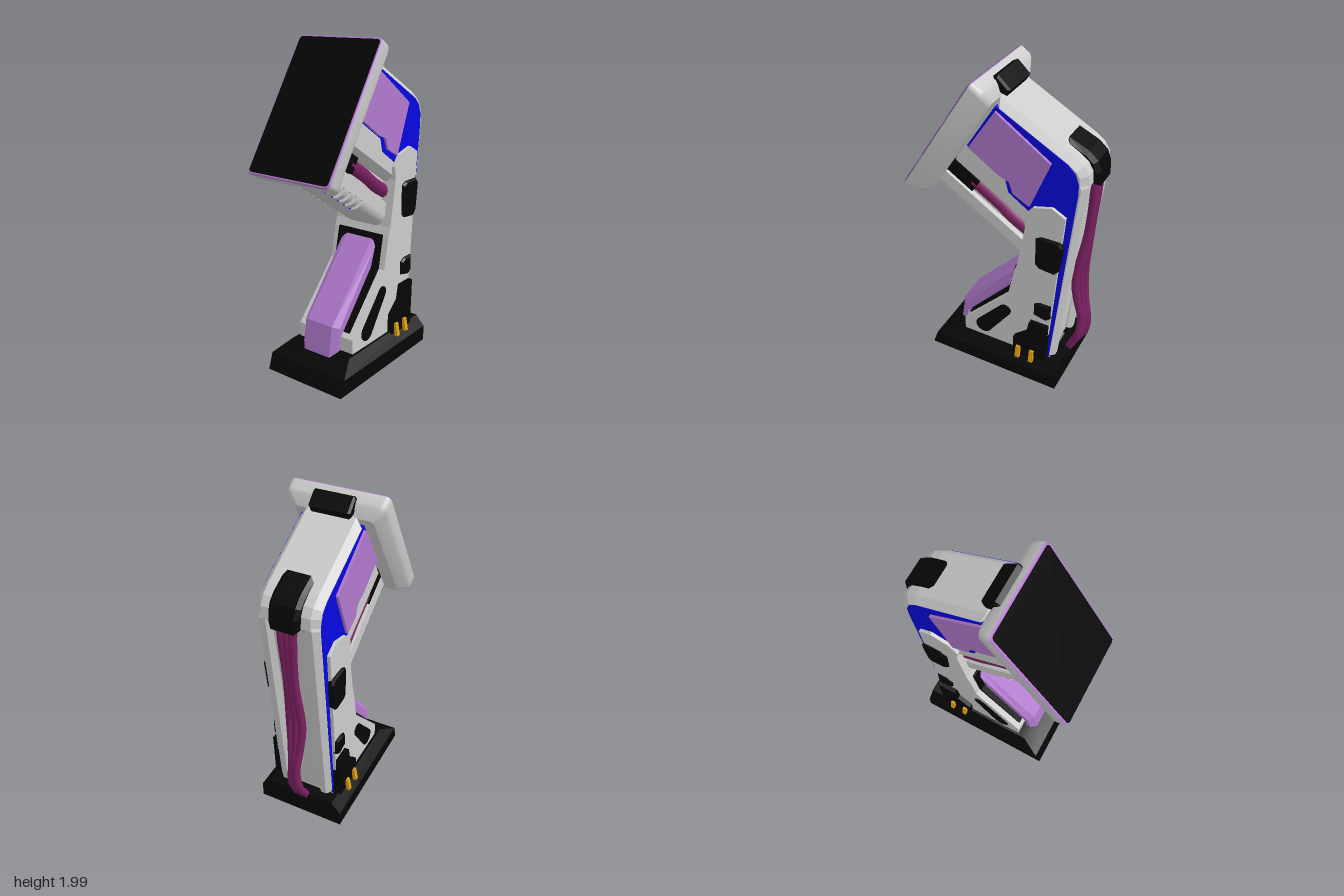
import * as THREE from 'three';
import { toCreasedNormals } from 'three/addons/utils/BufferGeometryUtils.js';

const GREY = 0xcccccc, BLACK = 0x060606, PURPLE = 0xb079cc, BLUE = 0x0808e0, MAGENTA = 0x7a2060, GOLD = 0xe0a010;
const TILT = -0.577; // the screen leans back

function add(parent, name, geometry, color) {
  const mesh = new THREE.Mesh(geometry, new THREE.MeshStandardMaterial({ color }));
  mesh.name = name;
  parent.add(mesh);
  return mesh;
}

// Side profile of [z, y] points, extruded across x from x0 to x1
function slab(parent, name, pts, x0, x1, color, bevel = 0) {
  const g = new THREE.ExtrudeGeometry(new THREE.Shape(pts.map(p => new THREE.Vector2(...p))), {
    depth: x1 - x0 - 2 * bevel, bevelEnabled: bevel > 0, bevelSize: bevel, bevelThickness: bevel,
    bevelOffset: -bevel, bevelSegments: 1,
  });
  g.rotateY(-Math.PI / 2).translate(x1 - bevel, 0, 0);
  return add(parent, name, g, color);
}

// The same profile on both sides of the model
function pair(parent, name, pts, x0, x1, color, bevel) {
  slab(parent, name + 'Left', pts, x0, x1, color, bevel);
  slab(parent, name + 'Right', pts, -x1, -x0, color, bevel);
}

// Skin through rings of equal point count
function loft(rings, capped) {
  const pos = [], tri = (...v) => v.forEach(p => pos.push(...p));
  for (let k = 0; k < rings.length - 1; k++) {
    const a = rings[k], b = rings[k + 1], n = a.length;
    for (let i = 0; i < n; i++) {
      const j = (i + 1) % n;
      tri(a[i], a[j], b[j]);
      tri(a[i], b[j], b[i]);
    }
  }
  if (capped) {
    const a = rings[0], b = rings[rings.length - 1];
    for (let i = 1; i < a.length - 1; i++) {
      tri(a[0], a[i + 1], a[i]);
      tri(b[0], b[i], b[i + 1]);
    }
  }
  const g = new THREE.BufferGeometry();
  g.setAttribute('position', new THREE.Float32BufferAttribute(pos, 3));
  g.computeVertexNormals();
  return toCreasedNormals(g, 0.6);
}

// Rounded rectangle from half sizes
function roundRect(w, h, r) {
  const s = new THREE.Shape();
  [[1, 1, 0], [-1, 1, 1], [-1, -1, 2], [1, -1, 3]].forEach(([sx, sy, q]) =>
    s.absarc(sx * (w - r), sy * (h - r), r, q * Math.PI / 2, (q + 1) * Math.PI / 2, false));
  return s;
}

function tube(parent, name, pts, r, color) {
  const curve = new THREE.CatmullRomCurve3(pts.map(p => new THREE.Vector3(...p)));
  return add(parent, name, new THREE.TubeGeometry(curve, 40, r, 10), color);
}

// Cross-section of the lower housing, rounded below or notched for a vent
function housingSection(notched) {
  const s = new THREE.Shape();
  s.moveTo(0.12, -0.1).lineTo(-0.12, -0.1).lineTo(-0.12, -0.26).lineTo(-0.155, -0.26);
  if (notched) {
    s.lineTo(-0.155, -0.335).lineTo(-0.085, -0.335).lineTo(-0.085, -0.4);
    s.lineTo(0.085, -0.4).lineTo(0.085, -0.335).lineTo(0.155, -0.335);
  } else {
    s.absarc(-0.085, -0.33, 0.07, Math.PI, 1.5 * Math.PI, false);
    s.absarc(0.085, -0.33, 0.07, 1.5 * Math.PI, 2 * Math.PI, false);
  }
  return s.lineTo(0.155, -0.26).lineTo(0.12, -0.26);
}

export function createModel() {
  const model = new THREE.Group();
  model.name = 'kiosk';

  // Hollow base frame
  const rect = (y, x, z0, z1) => [[x, y, z1], [x, y, z0], [-x, y, z0], [-x, y, z1]];
  add(model, 'base', loft([
    rect(0, 0.2, -0.37, 0.33), rect(0, 0.28, -0.45, 0.455), rect(0.1, 0.28, -0.45, 0.42),
    rect(0.165, 0.22, -0.45, 0.295), rect(0.165, 0.19, -0.37, 0.23), rect(0, 0.2, -0.37, 0.33),
  ]), BLACK);

  // Hollow column: front skin between two cheek plates
  const front = [[0.24, 0.15], [0.24, 0.255], [-0.08, 0.6], [-0.12, 0.8], [-0.14, 0.86], [-0.19, 1.15]];
  slab(model, 'columnFront', [...front, [-0.23, 1.15], [-0.18, 0.86], [-0.16, 0.8], [-0.12, 0.59], [0.2, 0.24], [0.2, 0.15]],
    -0.19, 0.19, GREY);
  pair(model, 'cheekPlate', [...front, [-0.18, 1.23], [-0.235, 1.3], [-0.35, 1.33], [-0.43, 1.285], [-0.34, 0.15]],
    0.16, 0.205, GREY);

  // Head and spine shell, with rails beside the cable channel
  slab(model, 'shell', [[-0.01, 1.89], [-0.44, 1.65], [-0.495, 1.61], [-0.525, 1.56], [-0.53, 1.49], [-0.5, 1.45],
    [-0.35, 0.15], [-0.25, 0.15], [-0.19, 1.13], [0.285, 1.43]], -0.182, 0.182, GREY, 0.038);
  pair(model, 'spineRail', [[-0.5, 1.54], [-0.53, 1.49], [-0.39, 0.15], [-0.3, 0.15], [-0.44, 1.54]],
    0.09, 0.182, GREY, 0.03);
  pair(model, 'bluePanel', [[0, 1.85], [-0.42, 1.615], [-0.465, 1.57], [-0.485, 1.51], [-0.485, 1.44], [-0.36, 0.16],
    [-0.26, 0.16], [-0.31, 1.23], [-0.215, 1.245], [-0.075, 1.34], [-0.055, 1.42], [0.18, 1.57]], 0.12, 0.185, BLUE);
  pair(model, 'purplePanel', [[-0.005, 1.825], [-0.33, 1.6], [-0.21, 1.295], [-0.11, 1.35], [-0.085, 1.42],
    [-0.02, 1.445], [0.165, 1.57]], 0.17, 0.201, PURPLE);

  // Black caps on the head
  slab(model, 'rearCap', [[-0.37, 1.71], [-0.49, 1.655], [-0.54, 1.61], [-0.562, 1.55], [-0.565, 1.465],
    [-0.5, 1.465], [-0.48, 1.57], [-0.36, 1.65]], -0.09, 0.09, BLACK, 0.022);
  slab(model, 'topClip', [[0.05, 1.975], [0.02, 1.99], [-0.055, 1.92], [-0.03, 1.88], [0.04, 1.9]],
    -0.123, 0.123, BLACK, 0.012);

  // Knee guard and its backing pad
  slab(model, 'kneePad', [[-0.11, 0.81], [-0.065, 0.61], [0.225, 0.285], [0.2, 0.27], [-0.09, 0.6], [-0.14, 0.81]],
    -0.165, 0.165, BLACK);
  slab(model, 'kneeGuard', [[0.3, 0.335], [-0.11, 0.785], [-0.08, 0.6], [0.23, 0.24], [0.23, 0.145], [0.33, 0.145]],
    -0.13, 0.13, PURPLE, 0.035);

  // Black side details
  pair(model, 'upperPad', [[-0.26, 1.1], [-0.295, 1.12], [-0.41, 1.12], [-0.43, 1.09], [-0.41, 0.915],
    [-0.38, 0.88], [-0.285, 0.89], [-0.26, 0.915]], 0.18, 0.222, BLACK, 0.012);
  pair(model, 'lowerPad', [[-0.26, 0.6], [-0.295, 0.62], [-0.37, 0.62], [-0.37, 0.52], [-0.34, 0.495], [-0.26, 0.515]],
    0.18, 0.222, BLACK, 0.012);
  pair(model, 'anklePlate', [[-0.13, 0.15], [-0.13, 0.28], [-0.22, 0.36], [-0.24, 0.455], [-0.36, 0.455], [-0.35, 0.15]],
    0.18, 0.235, BLACK);
  const slot = [];
  [[-0.06, 0.46, 0.04], [0.1, 0.255, 0.055]].forEach(([z, y, r], k) => {
    for (let i = 0; i <= 8; i++) {
      const t = 0.66 + Math.PI * (k + 1 + i / 8) - Math.PI * 1;
      slot.push([z + r * Math.cos(t), y + r * Math.sin(t)]);
    }
  });
  pair(model, 'sideSlot', slot, 0.19, 0.209, BLACK);
  for (const s of [1, -1]) for (const z of [-0.17, -0.265]) {
    const clip = add(model, 'goldClip', new THREE.BoxGeometry(0.022, 0.085, 0.028), GOLD);
    clip.position.set(s * 0.246, 0.178, z);
    clip.rotation.z = s * 0.18;
  }

  // Cables down the back
  [-0.035, 0, 0.035].forEach((x, i) => {
    const d = (i - 1) * 0.012;
    tube(model, 'backCable', [[x, 1.55, -0.5], [x, 1.45, -0.518], [x - d, 1.1, -0.5], [x + d, 0.75, -0.465 + d],
      [x, 0.58, -0.48 + d], [x - d, 0.42, -0.51 + d], [x, 0.28, -0.5 + d], [x, 0.13, -0.425]], 0.024, MAGENTA);
  });

  // Tilted display head
  const head = new THREE.Group();
  head.name = 'displayHead';
  head.position.set(0, 1.633, 0.325);
  head.rotation.x = TILT;
  model.add(head);
  const ring = (w, h, r, z) => roundRect(w, h, r).getPoints(5).map(p => [p.x, p.y, z]);
  add(head, 'displayFrame', loft([ring(0.235, 0.385, 0.03, -0.14), ring(0.285, 0.428, 0.035, -0.09),
    ring(0.293, 0.437, 0.035, -0.07), ring(0.294, 0.437, 0.033, -0.008)], true), GREY);
  add(head, 'displayRim', loft([ring(0.294, 0.437, 0.033, -0.008), ring(0.287, 0.43, 0.026, 0)], true), PURPLE);
  add(head, 'screen', loft([ring(0.279, 0.423, 0.02, -0.01), ring(0.279, 0.423, 0.02, 0.003)], true), BLACK);

  // Lower housing: rounded slices alternating with notched vent slices
  const slice = (name, notched, z0, z1) => add(head, name, new THREE.ExtrudeGeometry(housingSection(notched),
    { depth: z1 - z0, bevelEnabled: false, curveSegments: 8 }).translate(0, 0, z0), GREY);
  let edge = -0.12;
  for (let i = 0; i < 6; i++) {
    const z = -0.175 - i * 0.066;
    slice('housingRib', false, z + 0.014, edge);
    slice('housingVent', true, z - 0.014, z + 0.014);
    edge = z - 0.014;
    for (const s of [1, -1]) {
      add(head, 'ventLining', new THREE.BoxGeometry(0.004, 0.063, 0.028).translate(s * 0.086, -0.3675, z), BLUE);
    }
  }
  slice('lowerHousing', false, -0.82, edge);

  // Side connectors and their cables
  for (const s of [1, -1]) {
    add(head, 'connector', new THREE.BoxGeometry(0.07, 0.1, 0.21).translate(s * 0.12, -0.19, -0.228), BLACK);
    tube(model, 'sideCable', [[s * 0.115, 1.31, 0.18], [s * 0.115, 1.2, 0.01], [s * 0.115, 1.13, -0.08],
      [s * 0.115, 1.05, -0.22]], 0.043, MAGENTA);
  }
  return model;
}
